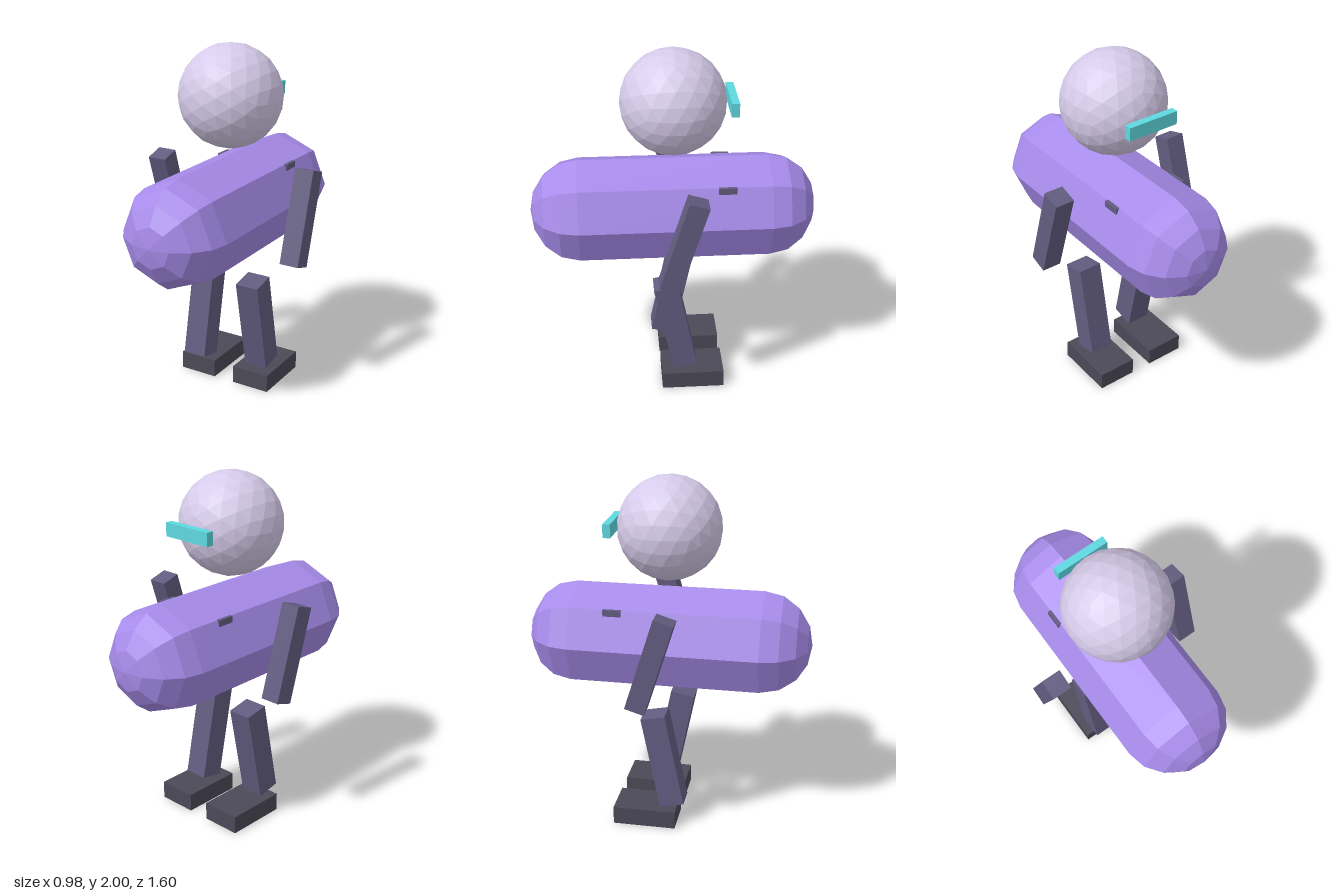
import * as THREE from 'three';

export function createModel() {
  const group = new THREE.Group();
  const mat = (color) => new THREE.MeshStandardMaterial({ color, flatShading: true });
  const purple = mat(0xa78bea), pale = mat(0xd6cbea), limb = mat(0x625c80);
  const sole = mat(0x4b4957), cyan = mat(0x5fd8e0);

  function add(name, geometry, material, x, y, z, tilt = 0) {
    const mesh = new THREE.Mesh(geometry, material);
    mesh.name = name;
    mesh.position.set(x, y, z);
    mesh.rotation.x = tilt;
    group.add(mesh);
    return mesh;
  }

  // Eight-sided capsule body lying along z, with slightly flattened caps
  const body = new THREE.CapsuleGeometry(0.302, 1.06 / 0.9, 4, 8);
  body.scale(1, 0.9, 1);
  body.rotateX(Math.PI / 2);
  add('torso', body, purple, 0, 1.075, 0);

  // Bar set into the body, its corners just showing at the sides
  add('backPack', new THREE.BoxGeometry(0.46, 0.035, 0.1), limb, 0, 1.273, -0.283);

  // Faceted head and visor
  add('head', new THREE.IcosahedronGeometry(0.29, 3), pale, 0, 1.71, 0);
  add('visor', new THREE.BoxGeometry(0.304, 0.076, 0.042), cyan, 0, 1.712, -0.32);

  // Limbs swing in opposite directions on each side
  for (const [side, s] of [['left', 1], ['right', -1]]) {
    add(side + 'Arm', new THREE.BoxGeometry(0.112, 0.535, 0.112), limb, s * 0.433, 1.073, -0.028, -0.3 * s);
    add(side + 'Leg', new THREE.BoxGeometry(0.14, 0.558, 0.14), limb, s * 0.179, 0.398, 0, 0.2 * s);
    add(side + 'Foot', new THREE.BoxGeometry(0.23, 0.104, 0.36), sole, s * 0.179, 0.052, -0.1);
  }
  return group;
}
